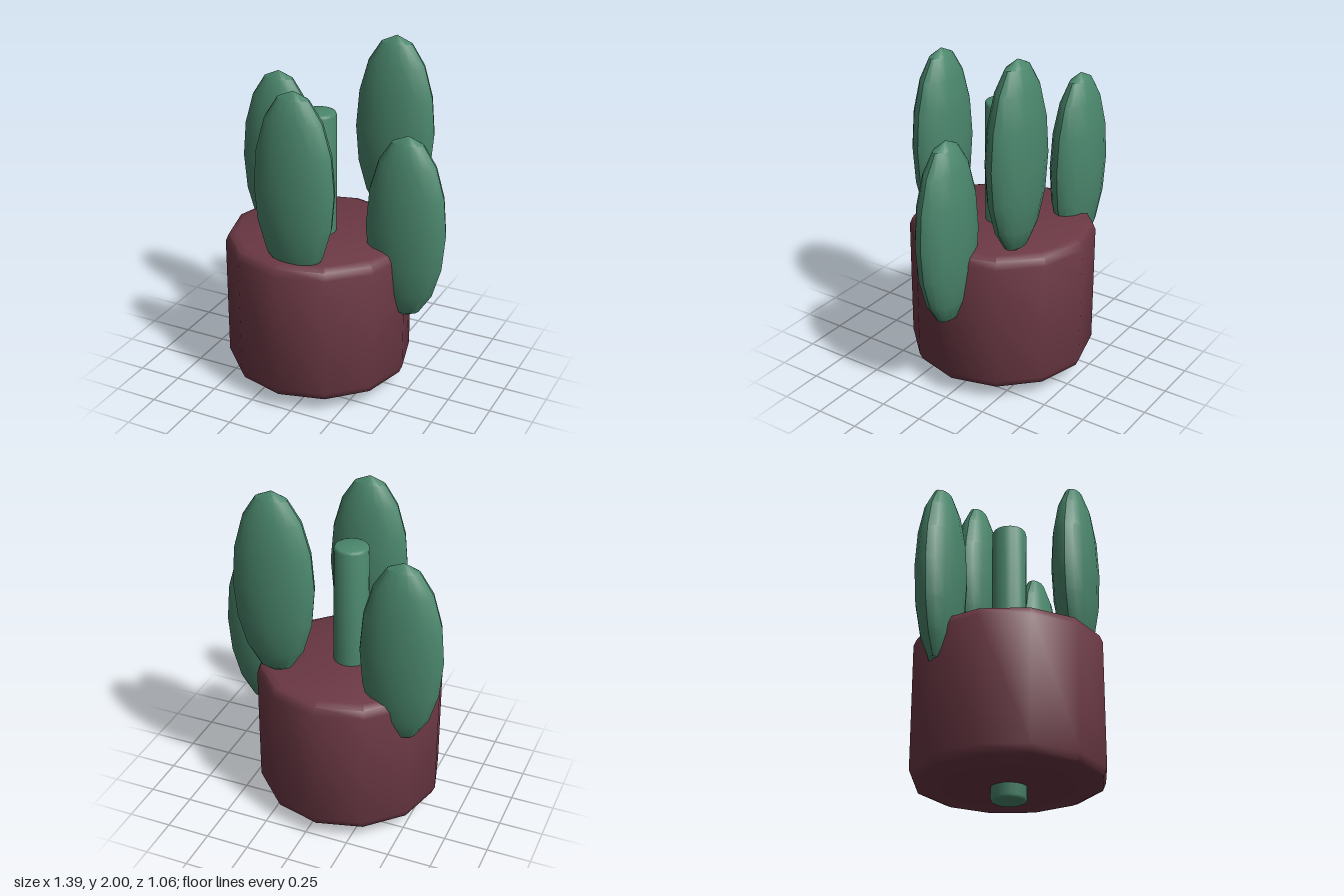
import * as THREE from 'three';
import { toCreasedNormals } from 'three/addons/utils/BufferGeometryUtils.js';

const POT_X = -0.07;

// Solid of revolution with softened rims, from y0 to y1
function bevelledDrum(radius, y0, y1, bevel, sides, crease) {
  const b = bevel;
  const profile = [
    [0, y0], [radius - b, y0], [radius - b * 0.3, y0 + b * 0.3], [radius, y0 + b],
    [radius, y1 - b], [radius - b * 0.3, y1 - b * 0.3], [radius - b, y1], [0, y1],
  ].map(([r, y]) => new THREE.Vector2(r, y));
  return toCreasedNormals(new THREE.LatheGeometry(profile, sides), crease);
}

export function createModel() {
  const group = new THREE.Group();
  const green = new THREE.MeshStandardMaterial({ name: 'cactus green', color: 0x4a866c });
  const maroon = new THREE.MeshStandardMaterial({ name: 'pot maroon', color: 0x6b3844 });

  const add = (name, geometry, material, x, y, z) => {
    const mesh = new THREE.Mesh(geometry, material);
    mesh.name = name;
    mesh.position.set(x, y, z);
    group.add(mesh);
  };

  // Twelve-sided pot with rounded rims
  add('pot', bevelledDrum(0.53, 0.08, 0.905, 0.06, 12, 0.8), maroon, POT_X, 0, 0);

  // Stem running through the pot and out below it
  add('stem', bevelledDrum(0.098, 0, 1.612, 0.018, 16, 0.8), green, POT_X, 0, 0);

  // Flattened cactus pads: x, top height, z
  const halfHeight = 0.54;
  const pad = new THREE.SphereGeometry(1, 16, 8);
  pad.scale(0.235, halfHeight, 0.125);
  const padGeometry = toCreasedNormals(pad, 0.56);
  [
    ['rightPad', -0.46, 1.71, -0.26],
    ['frontPad', -0.025, 1.853, 0.376],
    ['backPad', 0.25, 2.0, -0.303],
    ['leftPad', 0.458, 1.56, 0],
  ].forEach(([name, x, top, z]) => add(name, padGeometry, green, x, top - halfHeight, z));

  return group;
}
